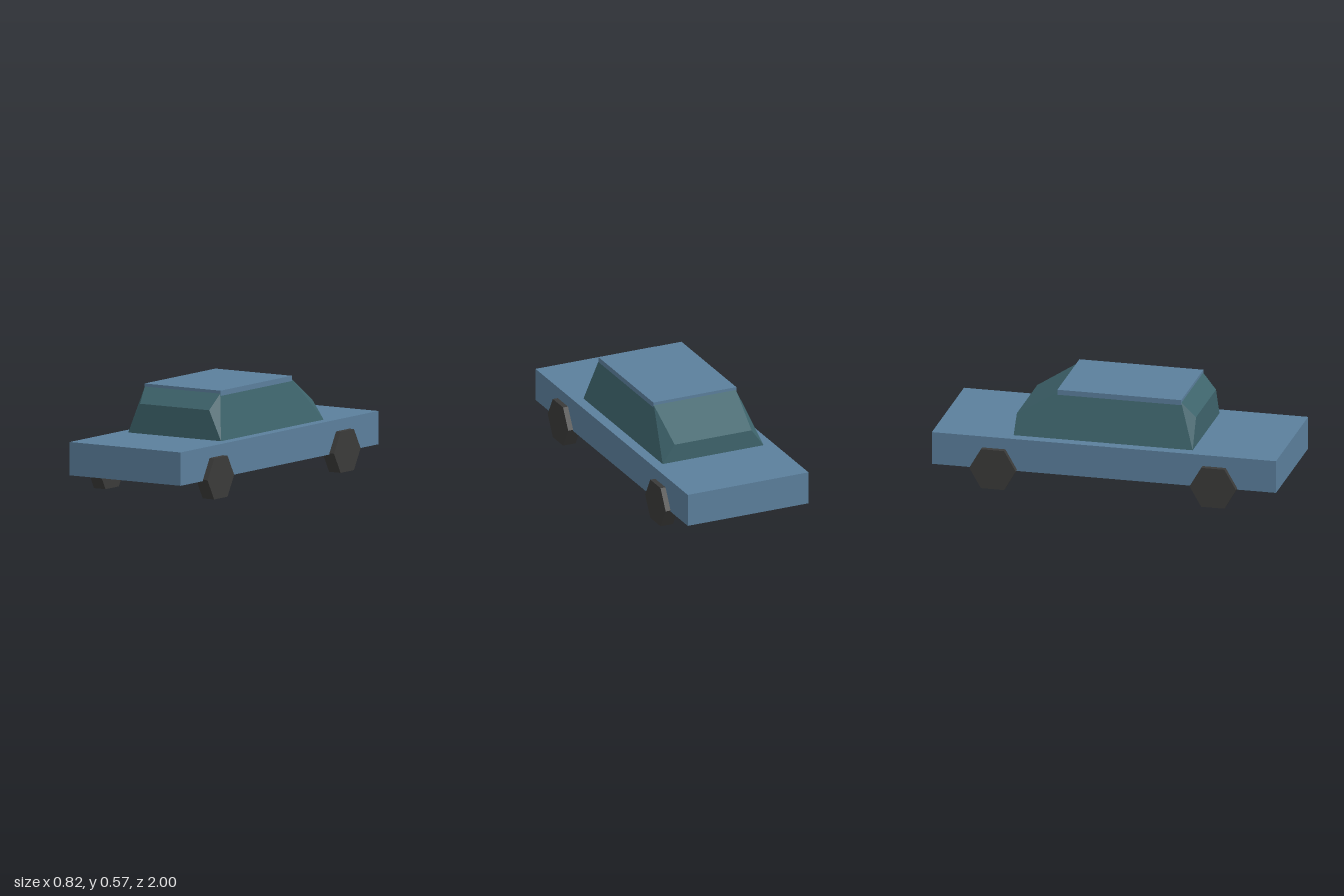
import * as THREE from 'three';
import { ConvexGeometry } from 'three/addons/geometries/ConvexGeometry.js';

const paint = new THREE.MeshStandardMaterial({ color: 0x5b7f9c, flatShading: true });
const glass = new THREE.MeshStandardMaterial({ color: 0x3e646c, flatShading: true });
const rubber = new THREE.MeshStandardMaterial({ color: 0x3a3a39, flatShading: true });

export function createModel() {
  const car = new THREE.Group();
  car.name = 'car';

  const add = (name, geometry, material, x = 0, y = 0, z = 0) => {
    const mesh = new THREE.Mesh(geometry, material);
    mesh.name = name;
    mesh.position.set(x, y, z);
    car.add(mesh);
    return mesh;
  };

  // Lower body slab
  add('body', new THREE.BoxGeometry(0.754, 0.19, 2), paint, 0, 0.205, 0);

  // Glass cabin: upright ends, sloped windscreens and chamfered corners
  const corners = [
    [0.315, 0.3, 0.5], [0.235, 0.47, 0.5], [0.256, 0.557, 0.42],
    [0.256, 0.557, -0.3], [0.24, 0.405, -0.54], [0.315, 0.3, -0.54],
  ];
  const points = corners.flatMap(([x, y, z]) =>
    [1, -1].map((side) => new THREE.Vector3(side * x, y, z)));
  add('cabinGlass', new ConvexGeometry(points), glass);

  // Roof panel, sunk slightly over the glass
  add('roof', new THREE.BoxGeometry(0.518, 0.035, 0.72), paint, 0, 0.5565, 0.06);

  // Six-sided wheels, flat side down
  const wheel = new THREE.CylinderGeometry(0.135, 0.135, 0.078, 6).rotateZ(Math.PI / 2);
  for (const [side, x] of [['left', 0.369], ['right', -0.369]]) {
    for (const [end, z] of [['Front', 0.64], ['Rear', -0.64]]) {
      add(`${side}${end}Wheel`, wheel, rubber, x, 0.117, z);
    }
  }

  return car;
}
